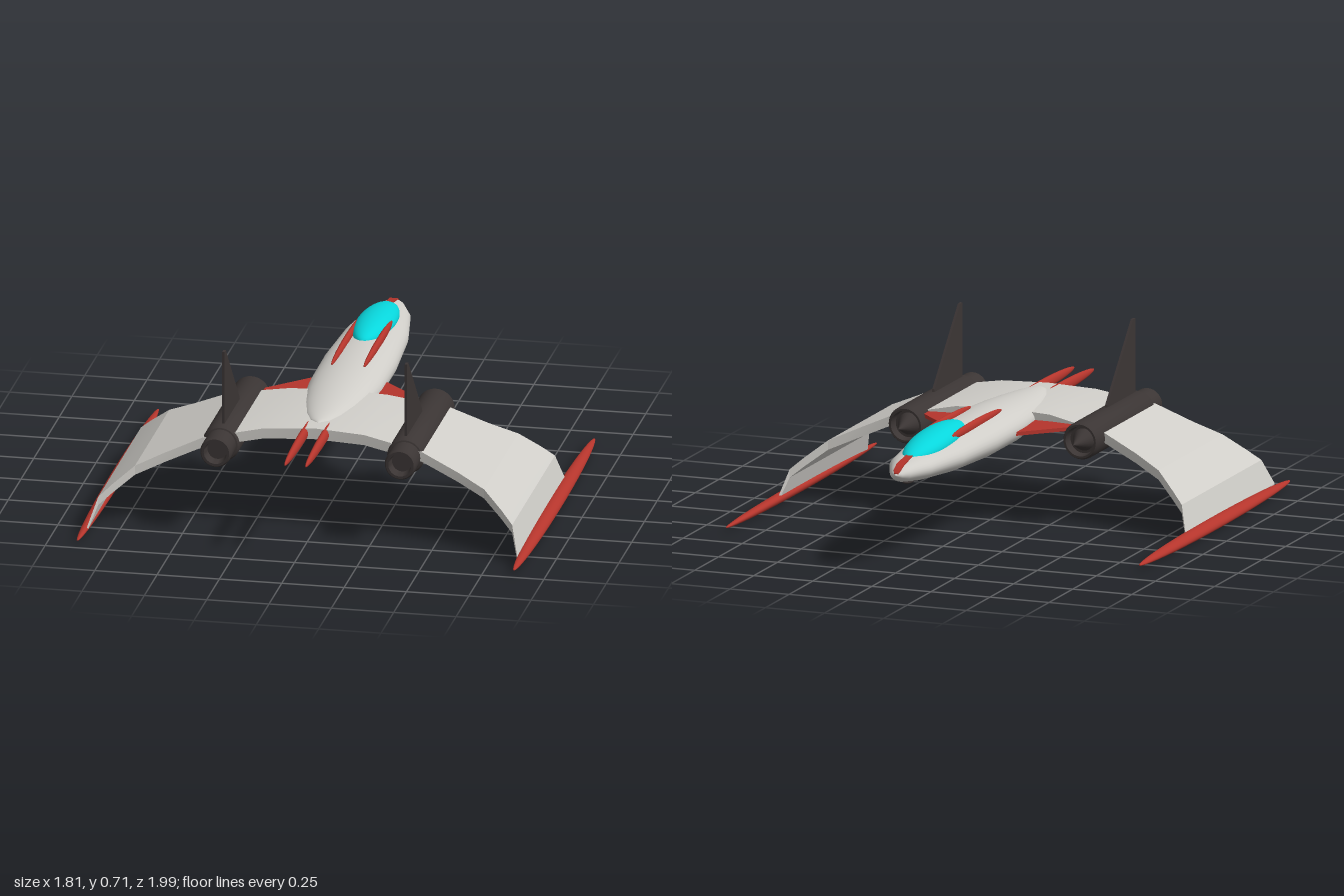
import * as THREE from 'three';
import { toCreasedNormals } from 'three/addons/utils/BufferGeometryUtils.js';

const material = (name, color) => Object.assign(new THREE.MeshStandardMaterial({ color }), { name });

// Closed skin through a list of rings, each ring a list of [x, y, z]
function loft(rings, crease) {
  const n = rings[0].length, index = [];
  for (let i = 0; i < rings.length - 1; i++) {
    for (let j = 0; j < n; j++) {
      const a = i * n + j, b = i * n + (j + 1) % n;
      index.push(a, b, a + n, b, b + n, a + n);
    }
  }
  const last = (rings.length - 1) * n;
  for (let j = 1; j < n - 1; j++) index.push(0, j + 1, j, last, last + j, last + j + 1);
  const geo = new THREE.BufferGeometry();
  geo.setAttribute('position', new THREE.Float32BufferAttribute(rings.flat(2), 3));
  geo.setIndex(index);
  geo.computeVertexNormals();
  return crease ? toCreasedNormals(geo, crease) : geo;
}

// Slab running across x; stations are [x, top, thickness, zFront, zRear]
const slab = (stations) => loft(stations.map(([x, y, t, f, r]) =>
  [[x, y, r], [x, y - t, r], [x, y - t, f], [x, y, f]]), 0.2);

// Mirrors half of the stations to the other side
const bothSides = (half) => [
  ...half.filter((s) => s[0] > 0).reverse().map(([x, ...rest]) => [-x, ...rest]), ...half];

export function createModel() {
  const grey = material('hullGrey', 0xcfcdc8);
  const red = material('trimRed', 0xb5352c);
  const dark = material('engineDark', 0x3b3534);
  const cyan = material('canopyCyan', 0x08d6dc);

  const model = new THREE.Group();
  model.name = 'starfighter';
  const add = (name, geo, mat, x = 0, y = 0, z = 0) => {
    const mesh = new THREE.Mesh(geo, mat);
    mesh.name = name;
    mesh.position.set(x, y, z);
    model.add(mesh);
    return mesh;
  };
  const ellipsoid = (name, mat, size, x, y, z) =>
    add(name, new THREE.SphereGeometry(1, 28, 20).rotateX(Math.PI / 2).scale(...size), mat, x, y, z);

  // Fuselage: [z, half width, top, bottom], nose towards -z
  const hull = [
    [-1, 0.002, 0.397, 0.393], [-0.985, 0.025, 0.412, 0.377], [-0.95, 0.045, 0.428, 0.36],
    [-0.84, 0.09, 0.446, 0.342], [-0.6, 0.13, 0.46, 0.32], [-0.29, 0.148, 0.468, 0.305],
    [0, 0.147, 0.466, 0.304], [0.15, 0.135, 0.459, 0.315], [0.29, 0.112, 0.45, 0.335],
    [0.42, 0.076, 0.441, 0.37], [0.5, 0.04, 0.434, 0.4], [0.535, 0.002, 0.426, 0.422],
  ];
  add('fuselage', loft(hull.map(([z, w, top, bottom]) =>
    Array.from({ length: 36 }, (_, j) => {
      const a = j / 36 * Math.PI * 2;
      return [w * Math.cos(a), (top + bottom) / 2 + (top - bottom) / 2 * Math.sin(a), z];
    }))), grey);

  // Cockpit, nose stripe and chin opening
  ellipsoid('canopy', cyan, [0.078, 0.053, 0.27], 0, 0.446, -0.6).rotation.x = -0.06;
  add('noseStripe', loft([[-0.995, 0.404, 0.008], [-0.985, 0.415, 0.014], [-0.95, 0.432, 0.016],
    [-0.84, 0.449, 0.014]].map(([z, y, w]) =>
    [[w, y - 0.01, z], [w, y, z], [-w, y, z], [-w, y - 0.01, z]]), 0.5), red);
  ellipsoid('chinPort', dark, [0.022, 0.009, 0.035], 0, 0.346, -0.87);

  // Arched main wing
  add('mainWing', slab(bothSides([
    [0, 0.425, 0.045, 0.13, 0.605], [0.2, 0.415, 0.042, 0.13, 0.615], [0.44, 0.37, 0.04, 0.1, 0.645],
    [0.59, 0.304, 0.039, 0.07, 0.67], [0.7, 0.255, 0.038, 0.03, 0.705], [0.78, 0.19, 0.036, -0.02, 0.755],
    [0.83, 0.145, 0.034, -0.05, 0.79], [0.862, 0.04, 0.02, -0.09, 0.85],
  ]).map(([x, y, t, f, r]) => [x, y, t, f, r])), grey);

  // Red inner wing roots
  add('wingRoot', slab(bothSides([
    [0.12, 0.388, 0.015, -0.12, 0.42], [0.32, 0.388, 0.015, 0.08, 0.33]])), red);

  // Engine shell, running along z
  const shell = toCreasedNormals(new THREE.LatheGeometry([
    [0, 0.06], [0.055, 0.06], [0.06, 0.02], [0.068, 0.02], [0.075, 0.035], [0.075, 0.625],
    [0.068, 0.64], [0.062, 0.642], [0.062, 0.735], [0.056, 0.745], [0.046, 0.745], [0.04, 0.7], [0, 0.7],
  ].map(([r, z]) => new THREE.Vector2(r, z)), 32).rotateX(Math.PI / 2), 0.5);
  const spike = new THREE.ConeGeometry(0.045, 0.11, 24).rotateX(-Math.PI / 2);

  // Tail fin outline in z and y, as a thin upright plate
  const finShape = new THREE.Shape([[-0.605, 0.4], [-0.3, 0.4], [-0.31, 0.43], [-0.58, 0.717], [-0.605, 0.717]]
    .map(([u, v]) => new THREE.Vector2(u, v)));
  const fin = new THREE.ExtrudeGeometry(finShape, { depth: 0.01, bevelEnabled: false })
    .translate(0, 0, -0.005).rotateY(Math.PI / 2);

  for (const s of [-1, 1]) {
    const side = s > 0 ? 'left' : 'right';
    add(side + 'Engine', shell, dark, s * 0.37, 0.345, 0);
    add(side + 'EngineSpike', spike, dark, s * 0.37, 0.345, 0.005);
    add(side + 'TailFin', fin, dark, s * 0.366, 0, 0);
    // Slender red spindles at the wing tips, tail and cockpit
    ellipsoid(side + 'TipSpindle', red, [0.03, 0.021, 0.795], s * 0.875, 0.025, 0.185).rotation.z = -s * 0.35;
    ellipsoid(side + 'TailSpindle', red, [0.016, 0.024, 0.365], s * 0.042, 0.4, 0.622);
    ellipsoid(side + 'CockpitSpindle', red, [0.013, 0.02, 0.29], s * 0.065, 0.462, -0.335);
  }
  return model;
}
